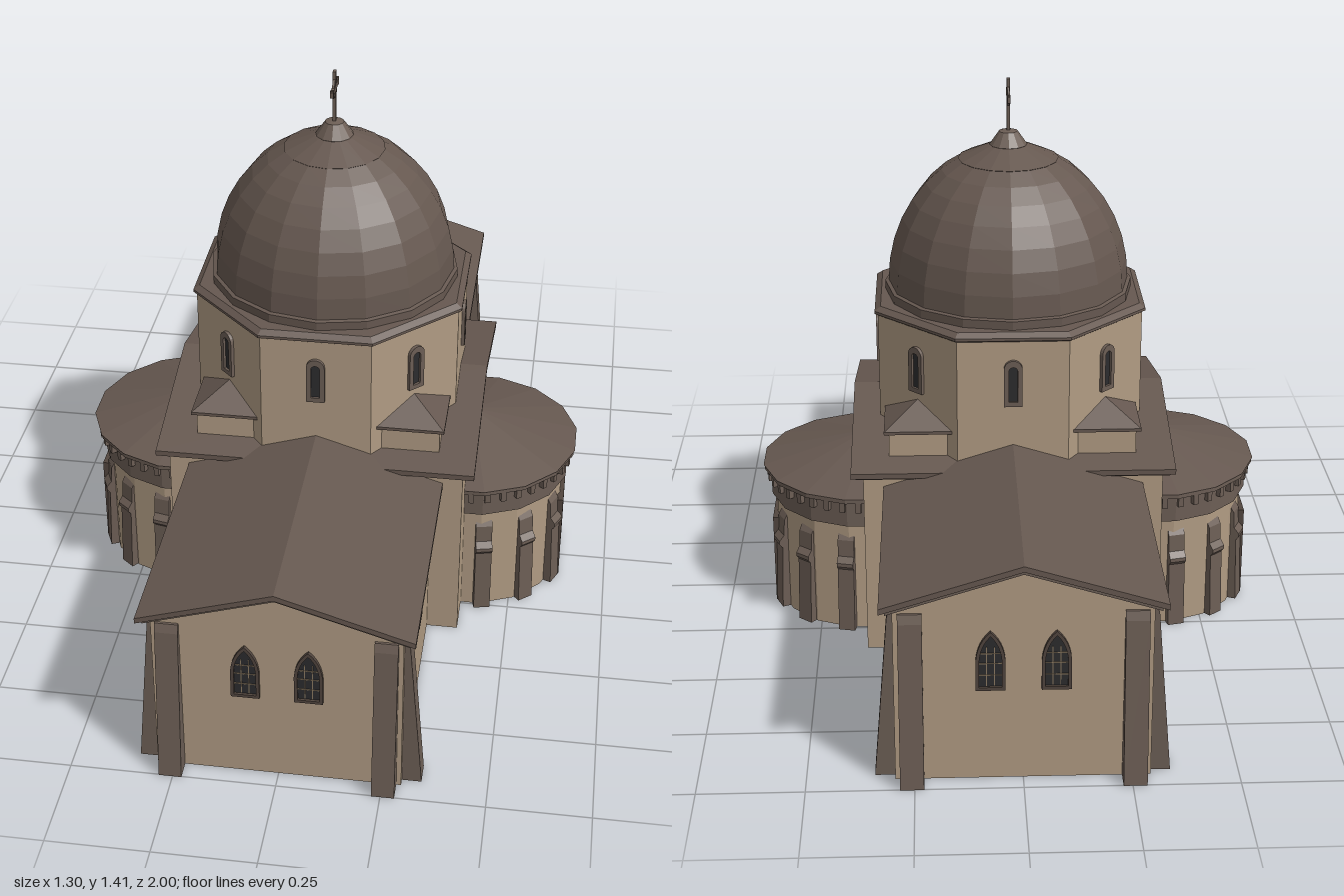
import * as THREE from 'three';

const mat = (name, color) => { const m = new THREE.MeshStandardMaterial({ color }); m.name = name; return m; };
const HALF = Math.PI / 2;

export function createModel() {
  const wall = mat('wall plaster', 0xb09b83);
  wall.side = THREE.DoubleSide;
  const roof = mat('roof tile', 0x665850);
  const stone = mat('trim stone', 0x6c5e55);
  const frameMat = mat('window frame', 0x51453e);
  const glass = mat('dark glass', 0x2c2c2e);
  const lead = mat('window bars', 0x8c7a62);
  const doorMat = mat('door wood', 0x584a42);

  const model = new THREE.Group();
  model.name = 'domedChurch';

  // Faceted mesh helper
  function add(parent, name, geo, material, x = 0, y = 0, z = 0) {
    const g = geo.index ? geo.toNonIndexed() : geo;
    g.computeVertexNormals();
    const m = new THREE.Mesh(g, material);
    m.name = name;
    m.position.set(x, y, z);
    parent.add(m);
    return m;
  }
  function group(parent, name, x = 0, y = 0, z = 0, ry = 0) {
    const g = new THREE.Group();
    g.name = name;
    g.position.set(x, y, z);
    g.rotation.y = ry;
    parent.add(g);
    return g;
  }
  const box = (w, h, d) => new THREE.BoxGeometry(w, h, d);
  const poly = (pts) => new THREE.Shape(pts.map(([x, y]) => new THREE.Vector2(x, y)));
  // Extrusion centred along its depth
  const slab = (shape, depth, curveSegments = 6) =>
    new THREE.ExtrudeGeometry(shape, { depth, bevelEnabled: false, curveSegments }).translate(0, 0, -depth / 2);
  const lathe = (pts, n, start = 0, len = Math.PI * 2) =>
    new THREE.LatheGeometry(pts.map(([x, y]) => new THREE.Vector2(x, y)), n, start, len);

  // Pitched roof slabs with a moulding under the eaves, running along local z
  function pitchedRoof(name, hw, hl, eave, peak, ry) {
    const g = group(model, name, 0, 0, 0, ry);
    const chevron = (w, e, p, t) => poly([[-w, e - t], [0, p - t], [w, e - t], [w, e], [0, p], [-w, e]]);
    add(g, 'roofSlab', slab(chevron(hw, eave, peak, 0.014), hl * 2), roof);
    add(g, 'eaveMoulding', slab(chevron(hw - 0.014, eave - 0.008, peak - 0.012, 0.014), hl * 2 - 0.024), stone);
  }
  pitchedRoof('naveRoof', 0.325, 0.985, 0.459, 0.56, 0);
  pitchedRoof('crossingRoof', 0.38, 0.405, 0.505, 0.595, HALF);

  // Hollow walls: nave arms open into the crossing
  const NX = 0.295, NZ = 0.955, CX = 0.375, CZ = 0.355;
  const gable = (w, eave, peak) => new THREE.ShapeGeometry(poly([[-w, 0], [w, 0], [w, eave], [0, peak], [-w, eave]]));
  const shoulder = (s) => new THREE.ShapeGeometry(
    poly([[NX, 0], [CX, 0], [CX, 0.488], [0.14, 0.488], [NX, 0.445]].map(([x, y]) => [s * x, y])));

  // Arched window: outline pointed or round, built from thin plates
  function arch(w, h, pointed) {
    const s = new THREE.Shape(), spring = pointed ? h * 0.5 : h - w / 2, r = w / 2;
    s.moveTo(-r, 0);
    s.lineTo(r, 0);
    s.lineTo(r, spring);
    if (pointed) {
      s.quadraticCurveTo(r * 0.9, h * 0.82, 0, h);
      s.quadraticCurveTo(-r * 0.9, h * 0.82, -r, spring);
    } else s.absarc(0, spring, r, 0, Math.PI, false);
    return s;
  }
  function windowAt(parent, x, y, z, ry, w, h, pointed) {
    const g = group(parent, 'window', x, y, z, ry);
    const b = pointed ? 0.008 : 0.012;
    const outer = arch(w, h, pointed);
    const inner = arch(w - 2 * b, h - 2.4 * b, pointed);
    outer.holes.push(new THREE.Path(inner.getPoints(6).map((p) => p.setY(p.y + b))));
    add(g, 'windowFrame', slab(outer, 0.0095), pointed ? frameMat : stone, 0, 0, 0.004);
    add(g, 'windowGlass', slab(inner, 0.003), glass, 0, b, 0.001);
    if (!pointed) return;
    for (const bx of [-0.009, 0.009]) add(g, 'windowBar', box(0.002, h * 0.66, 0.003), lead, bx, h * 0.4, 0.003);
    for (const by of [0.25, 0.45, 0.62]) add(g, 'windowBar', box(w - 2 * b, 0.002, 0.003), lead, 0, h * by, 0.003);
  }

  // Buttress with an outward profile, pointing along local +z
  function buttress(parent, name, profile, width, x, z, ry) {
    const geo = slab(poly(profile), width).rotateY(-HALF);
    add(parent, name, geo, stone, x, 0, z).rotation.y = ry;
  }
  const cornerProfile = [[0, 0], [0.047, 0], [0.013, 0.41], [0.006, 0.432], [0, 0.432]];
  const apseProfile = [[0.235, 0], [0.268, 0], [0.262, 0.175], [0.27, 0.185], [0.27, 0.195], [0.257, 0.21], [0.254, 0.255], [0.24, 0.278], [0.235, 0.278]];

  // Both halves are the same under a half turn
  for (const turn of [0, Math.PI]) {
    const half = group(model, turn ? 'backHalf' : 'frontHalf', 0, 0, 0, turn);
    add(half, 'naveEndWall', gable(NX, 0.445, 0.538), wall, 0, 0, NZ);
    add(half, 'crossingEndWall', gable(CZ, 0.49, 0.575), wall, CX).rotation.y = HALF;

    // Side walls, corner buttresses and hall windows
    for (const s of [-1, 1]) {
      const side = new THREE.PlaneGeometry(NZ - CZ, 0.445);
      add(half, 'naveSideWall', side, wall, s * NX, 0.2225, (NZ + CZ) / 2).rotation.y = s * HALF;
      add(half, 'crossingShoulder', shoulder(s), wall, 0, 0, CZ);
      buttress(half, 'endButtress', cornerProfile, 0.055, s * 0.256, NZ, 0);
      buttress(half, 'sideButtress', cornerProfile, 0.055, s * NX, 0.909, s * HALF);
      windowAt(half, s * 0.075, 0.235, NZ, 0, 0.068, 0.15, true);
      windowAt(half, s * NX, 0.235, 0.625, s * HALF, 0.068, 0.15, true);
    }

    // Faceted apse with frieze, brackets and half-cone roof
    const apse = group(half, 'apse', 0.372, 0, 0);
    const step = Math.PI / 8, facet = 1 / Math.cos(step / 2);
    const ring = (top, bottom, h, open) =>
      new THREE.CylinderGeometry(top * facet, bottom * facet, h, 9, 1, open, -step / 2, 9 * step);
    add(apse, 'apseWall', ring(0.245, 0.245, 0.3, true), wall, 0, 0.15, 0);
    add(apse, 'apseFrieze', ring(0.257, 0.257, 0.075), stone, 0, 0.3375, 0);
    add(apse, 'apseEave', ring(0.274, 0.274, 0.012), stone, 0, 0.378, 0);
    add(apse, 'apseRoof', ring(0.005, 0.277, 0.073), roof, 0, 0.4215, 0);
    for (let i = 0; i < 20; i++) {
      const a = (i + 0.5) / 20 * Math.PI;
      const b = add(apse, 'bracket', box(0.014, 0.03, 0.024), stone, Math.sin(a) * 0.26, 0.359, Math.cos(a) * 0.26);
      b.rotation.y = a;
    }
    for (const deg of [24, 50, 77]) for (const s of [-1, 1]) {
      buttress(apse, 'apseButtress', apseProfile, 0.043, 0, 0, HALF + s * deg * Math.PI / 180);
    }

    // Doorway
    const door = group(apse, 'doorway', 0.22, 0, 0);
    add(door, 'doorPanel', box(0.03, 0.23, 0.15), doorMat, 0.015, 0.115, 0);
    for (const s of [-1, 1]) add(door, 'doorJamb', box(0.036, 0.245, 0.014), frameMat, 0.018, 0.1225, s * 0.08);
    add(door, 'doorLintel', box(0.036, 0.016, 0.174), frameMat, 0.018, 0.237, 0);
    add(door, 'doorKnob', new THREE.SphereGeometry(0.004, 8, 6), lead, 0.032, 0.115, -0.055);

    // Corner turrets beside the drum
    for (const s of [-1, 1]) {
      const t = group(half, 'cornerTurret', s * 0.23, 0, 0.23);
      add(t, 'turretBox', box(0.16, 0.085, 0.16), wall, 0, 0.5425, 0);
      add(t, 'turretEave', box(0.184, 0.008, 0.184), roof, 0, 0.588, 0);
      add(t, 'turretRoof', new THREE.ConeGeometry(0.092 * Math.SQRT2, 0.058, 4).rotateY(Math.PI / 4), roof, 0, 0.62, 0);
    }
  }

  // Octagonal drum with cornice and a window in each face
  const k = 1 / Math.cos(Math.PI / 8);
  const drum = group(model, 'drum');
  add(drum, 'drumWall', new THREE.CylinderGeometry(0.335 * k, 0.335 * k, 0.335, 8, 1, true).rotateY(Math.PI / 8), wall, 0, 0.6675, 0);
  add(drum, 'drumCornice', lathe([[0.33, 0.832], [0.343, 0.84], [0.343, 0.847], [0.328, 0.858], [0, 0.862]].map(([r, y]) => [r * k, y]), 8, Math.PI / 8), roof);
  for (let i = 0; i < 8; i++) {
    const a = i * Math.PI / 4;
    windowAt(drum, Math.sin(a) * 0.335, 0.665, Math.cos(a) * 0.335, a, 0.046, 0.122, false);
  }

  // Dome, stepped cap and finial
  const domePts = [];
  for (let i = 0; i <= 7; i++) {
    const t = i / 7 * 1.15;
    domePts.push([0.309 * Math.cos(t), 0.88 + 0.356 * Math.sin(t)]);
  }
  add(model, 'domeBase', lathe([[0.318, 0.857], [0.318, 0.88], [0.305, 0.884]], 16), roof);
  add(model, 'dome', lathe(domePts, 16), roof);
  add(model, 'domeCap', lathe([[0.124, 1.202], [0.128, 1.206], [0.05, 1.24], [0, 1.242]], 16), roof);
  add(model, 'finial', lathe([[0.04, 1.234], [0.048, 1.241], [0.024, 1.275], [0, 1.28]], 12), stone);

  // Cross facing sideways
  const cross = group(model, 'cross', 0, 1.366, 0);
  add(cross, 'crossPost', box(0.008, 0.142, 0.015), stone, 0, -0.027, 0);
  add(cross, 'crossArm', box(0.008, 0.015, 0.1), stone);
  add(cross, 'crossDisc', new THREE.CylinderGeometry(0.026, 0.026, 0.006, 12).rotateZ(HALF), stone);
  for (const s of [-1, 1]) add(cross, 'crossArmEnd', box(0.009, 0.02, 0.007), stone, 0, 0, s * 0.042);

  return model;
}
